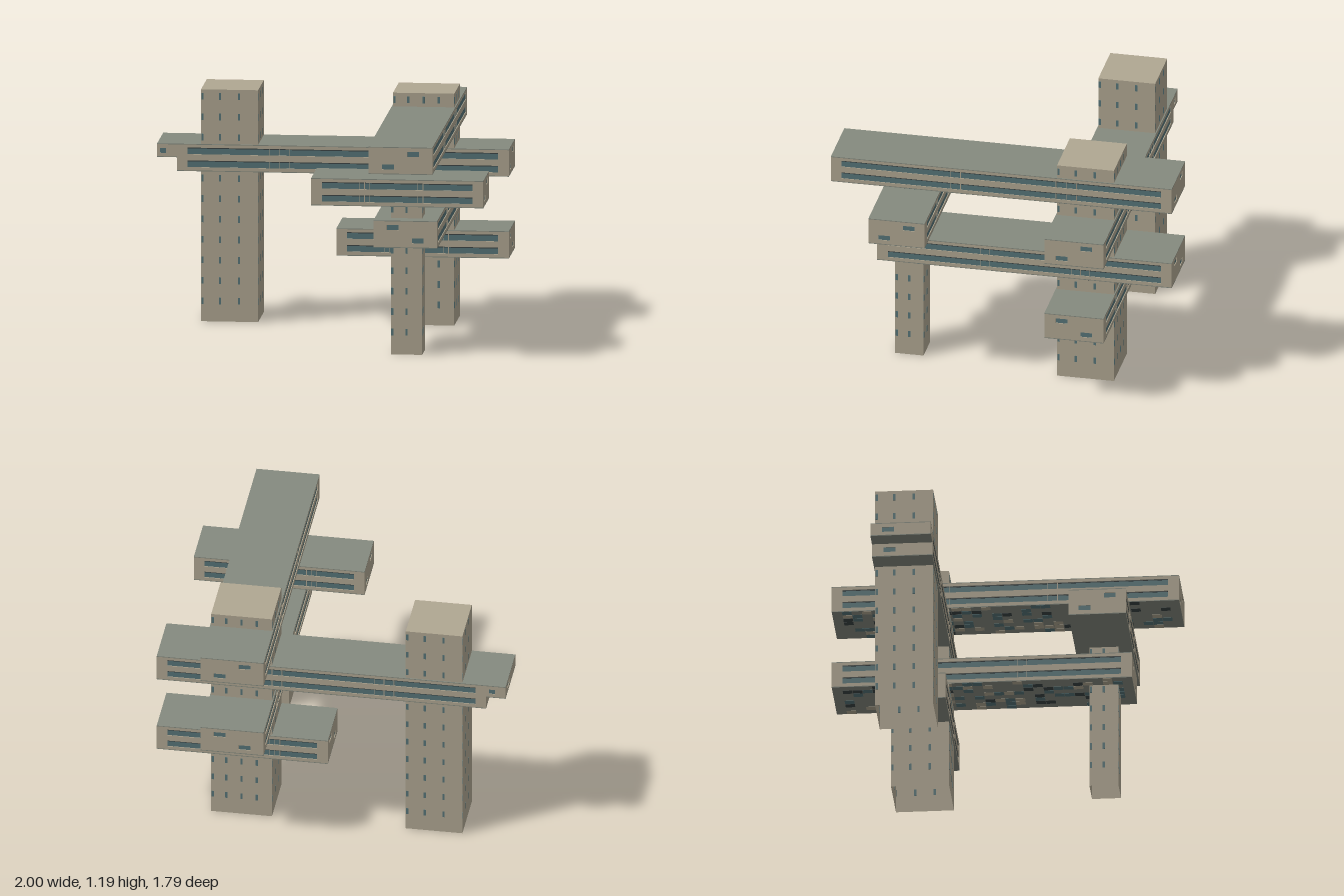
import * as THREE from 'three';

const T = 0.004;      // depth of the window recess
const FLOOR = 0.07;   // storey height

export function createModel() {
  const wall = new THREE.MeshStandardMaterial({ color: 0xb0a792, side: THREE.DoubleSide });
  const roof = new THREE.MeshStandardMaterial({ color: 0x858a7f });
  const glass = new THREE.MeshStandardMaterial({ color: 0x567478 });
  const dark = new THREE.MeshStandardMaterial({ color: 0x3a4344 });
  wall.name = 'concrete'; roof.name = 'roofGrey'; glass.name = 'tealGlass'; dark.name = 'darkPanel';

  let seed = 7;
  const rand = () => (seed = (seed * 16807) % 2147483647) / 2147483647;

  const model = new THREE.Group();
  model.name = 'bridgedTowers';

  const box = (parent, name, mat, w, h, d, x, y, z) => {
    const m = new THREE.Mesh(new THREE.BoxGeometry(w, h, d), mat);
    m.name = name;
    m.position.set(x, y, z);
    parent.add(m);
    return m;
  };

  // Thin wall panel facing +z with rectangular openings [x centre, y centre, width, height]
  function panel(w, h, holes) {
    const rect = (P, x, y, a, b) => {
      const p = new P();
      p.moveTo(x - a / 2, y - b / 2);
      p.lineTo(x + a / 2, y - b / 2);
      p.lineTo(x + a / 2, y + b / 2);
      p.lineTo(x - a / 2, y + b / 2);
      p.closePath();
      return p;
    };
    const s = rect(THREE.Shape, 0, h / 2, w, h);
    holes.forEach(([x, y, a, b]) => s.holes.push(rect(THREE.Path, x, y, a, b)));
    return new THREE.ExtrudeGeometry(s, { depth: T, bevelEnabled: false });
  }

  // Horizontal wing running along local x; sides = openings for front, right, back, left
  function wing(name, L, W, H, sides) {
    const g = new THREE.Group();
    g.name = name;
    const slab = 0.004;
    box(g, 'roof', roof, L, slab, W, 0, H - slab / 2, 0);
    box(g, 'underside', roof, L, slab, W, 0, slab / 2, 0);
    box(g, 'glazing', glass, L - 2 * T - 0.001, H - 2 * slab, W - 2 * T - 0.001, 0, H / 2, 0);
    sides.forEach((holes, i) => {
      const across = i % 2 ? W : L, out = i % 2 ? L : W;
      const pivot = new THREE.Group();
      pivot.rotation.y = i * Math.PI / 2;
      const m = new THREE.Mesh(panel(across, H - 2 * slab, holes), wall);
      m.name = 'wall';
      m.position.set(0, slab, out / 2 - T);
      pivot.add(m);
      g.add(pivot);
    });
    return g;
  }

  // Two-storey wing with ribbon windows on the long sides and staggered end windows
  function ribbonWing(name, L, W, sign, leftLowOnly) {
    const ribbons = [0.034, 0.1].map(y => [0, y, L - 0.11, 0.034]);
    const ends = [[-sign * 0.064, 0.034, 0.06, 0.026], [sign * 0.064, 0.1, 0.06, 0.026]];
    const left = leftLowOnly ? [[-0.064, 0.034, 0.06, 0.026]] : ends;
    const g = wing(name, L, W, 2 * FLOOR, [ribbons, ends, ribbons, left]);
    // slim mullions and a dark pane at the far end of each ribbon
    for (const s of [-1, 1]) for (const y of [0.038, 0.104]) {
      for (const f of [-0.22, -0.19, -0.16, 0.12, 0.15])
        box(g, 'mullion', wall, 0.003, 0.034, 0.003, f * L, y, s * (W / 2 - 0.003));
      box(g, 'sillShadow', dark, L - 0.11, 0.005, 0.002, 0, y + 0.0145, s * (W / 2 - 0.0035));
    }
    return g;
  }

  const addAlongX = (name, u0, u1, v0, v1, y, sign, low) => {
    const g = ribbonWing(name, u1 - u0, v1 - v0, sign, low);
    g.position.set((u0 + u1) / 2, y, (v0 + v1) / 2);
    model.add(g);
  };

  // Cross wings run front to back and carry a mosaic of panels underneath
  const addAlongZ = (name, u0, u1, v0, v1, y, sign) => {
    const L = v1 - v0, W = u1 - u0;
    const g = ribbonWing(name, L, W, sign, false);
    const nx = Math.round(L / 0.05), nz = 8;
    for (let i = 1; i < nx - 1; i++) for (let j = 0; j < nz; j++) {
      const r = rand();
      if (r > 0.42) continue;
      const mat = r < 0.12 ? wall : r < 0.28 ? glass : dark;
      box(g, 'undersidePanel', mat, L / nx * 0.95, 0.002, W / nz * 0.9,
        (i + 0.5) * L / nx - L / 2, -0.0005, (j + 0.5) * W / nz - W / 2);
    }
    g.rotation.y = -Math.PI / 2;
    g.position.set((u0 + u1) / 2, y, (v0 + v1) / 2);
    model.add(g);
  };

  // Hollow tower, open underneath, with columns of slit windows
  function tower(name, u0, u1, v0, v1, h, colsX, colsZ) {
    const g = new THREE.Group();
    g.name = name;
    const W = u1 - u0 - 0.012, D = v1 - v0 - 0.012;
    const geo = new THREE.BoxGeometry(W, h, D);
    geo.groups = geo.groups.filter(k => k.materialIndex !== 3);
    const shell = new THREE.Mesh(geo, Array(6).fill(wall));
    shell.name = 'shell';
    shell.position.y = h / 2;
    g.add(shell);
    for (let i = 0; i < 4; i++) {
      const across = i % 2 ? D : W, out = i % 2 ? W : D, n = i % 2 ? colsZ : colsX;
      const face = new THREE.Group();
      face.name = 'slitWindows';
      face.rotation.y = i * Math.PI / 2;
      for (let c = 0; c < n; c++) for (let y = h - 0.035; y > 0.05; y -= 1.5 * FLOOR)
        box(face, 'slit', glass, 0.012, 0.034, 0.003,
          Math.max(c / n * across, 0.008) - across / 2, y, out / 2);
      g.add(face);
    }
    g.position.set((u0 + u1) / 2, 0, (v0 + v1) / 2);
    model.add(g);
  }

  // Towers
  tower('leftTower', -0.694, -0.392, -0.476, -0.17, 17 * FLOOR, 3, 3);
  tower('rightTower', 0.281, 0.604, -0.476, -0.17, 17 * FLOOR, 4, 3);
  tower('frontPillar', 0.356, 0.527, 0.524, 0.683, 11 * FLOOR + 0.01, 2, 2);

  // Wings, from the lowest up
  addAlongX('lowestWing', 0, 0.876, -0.476, -0.17, 5 * FLOOR, -1);
  addAlongZ('lowerCrossWing', 0.281, 0.604, -0.77, 0.752, 8 * FLOOR, -1);
  addAlongX('longBackWing', -0.81, 0.876, -0.476, -0.17, 11 * FLOOR, 1, true);
  addAlongX('frontWing', -0.036, 0.838, 0.457, 0.747, 11 * FLOOR, 1);
  addAlongZ('upperCrossWing', 0.281, 0.604, -0.77, 0.991, 14 * FLOOR, 1);

  // One-storey overhang at the end of the long wing
  const side = [[-0.02, 0.03, 0.03, 0.026]];
  const overhang = wing('overhang', 0.1, 0.306, FLOOR, [side, [], side, [[-0.064, 0.03, 0.06, 0.026]]]);
  overhang.position.set(-0.86, 12 * FLOOR, -0.323);
  model.add(overhang);

  // The whole plan is turned on the site
  model.rotation.y = THREE.MathUtils.degToRad(14.5);
  const root = new THREE.Group();
  root.name = 'building';
  root.add(model);
  return root;
}
